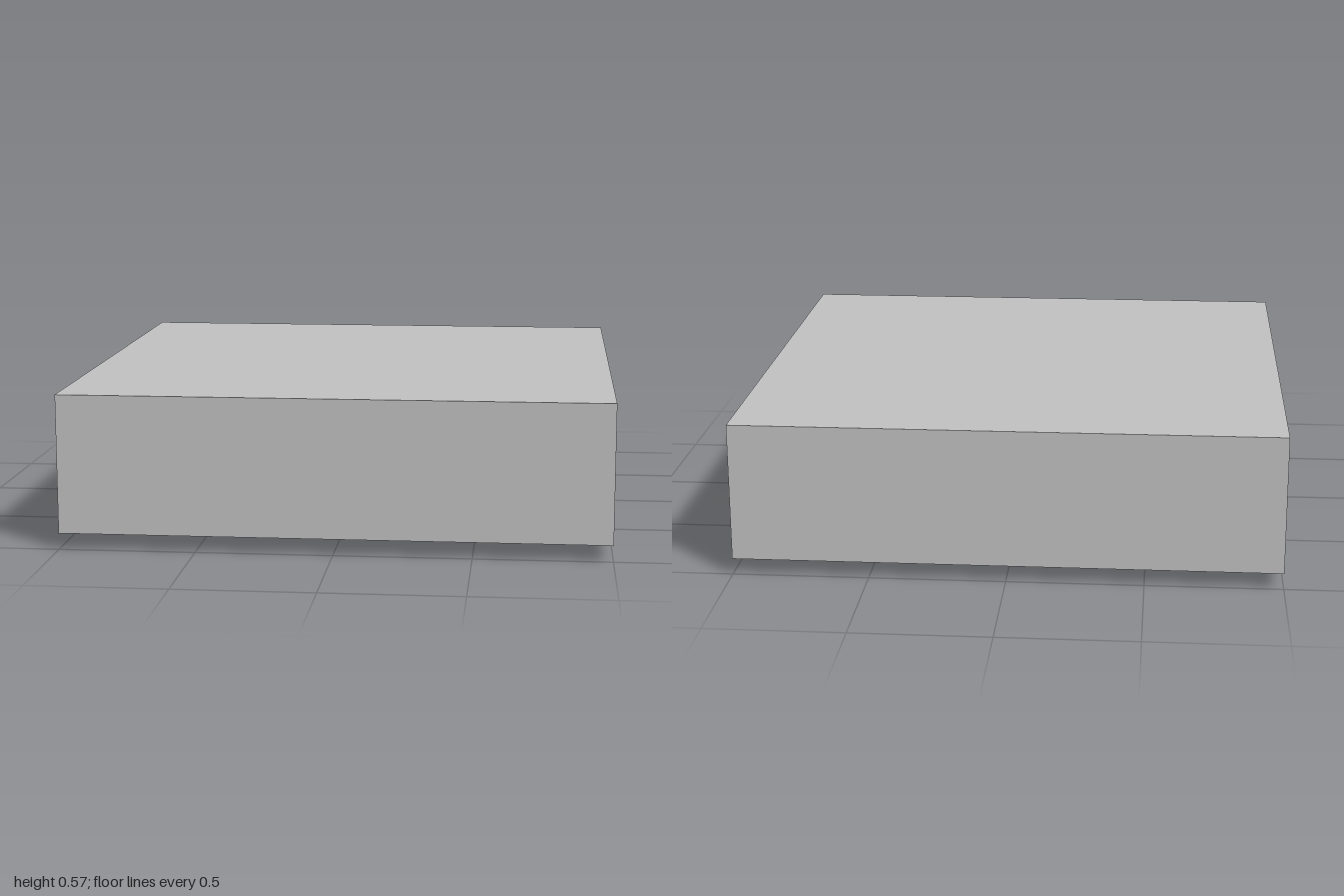
import * as THREE from 'three';
import { toCreasedNormals } from 'three/addons/utils/BufferGeometryUtils.js';

const BASE_Y = 0.06; // underside of the block
const TOP_Y = 0.57;

export function createModel() {
  const model = new THREE.Group();
  model.name = 'block';
  const grey = new THREE.MeshStandardMaterial({ color: 0xc0c0c0 });
  grey.name = 'light grey';

  const add = (name, geometry, x = 0, y = 0, z = 0) => {
    const mesh = new THREE.Mesh(geometry, grey);
    mesh.name = name;
    mesh.position.set(x, y, z);
    model.add(mesh);
  };

  // Square block
  add('body', new THREE.BoxGeometry(2, TOP_Y - BASE_Y, 2), 0, (TOP_Y + BASE_Y) / 2, 0);

  // Open ring raised from the underside, its gap towards the front
  const rad = THREE.MathUtils.degToRad;
  const centreZ = 0.037;
  const ring = new THREE.Shape();
  ring.absellipse(0, centreZ, 0.803, 0.775, rad(114.3), rad(423.4), false);
  ring.absellipse(0, centreZ, 0.675, 0.658, rad(421.7), rad(115.5), true);
  ring.closePath();
  const ringGeometry = new THREE.ExtrudeGeometry(ring, {
    depth: BASE_Y, bevelEnabled: false, curveSegments: 64,
  });
  ringGeometry.rotateX(Math.PI / 2); // shape y becomes z, depth runs down
  add('openRing', toCreasedNormals(ringGeometry, rad(30)), 0, BASE_Y, 0);

  // Straight bar running from the middle of the ring into the gap
  add('bar', new THREE.BoxGeometry(0.093, BASE_Y, 0.615), -0.002, BASE_Y / 2, 0.385);

  return model;
}
